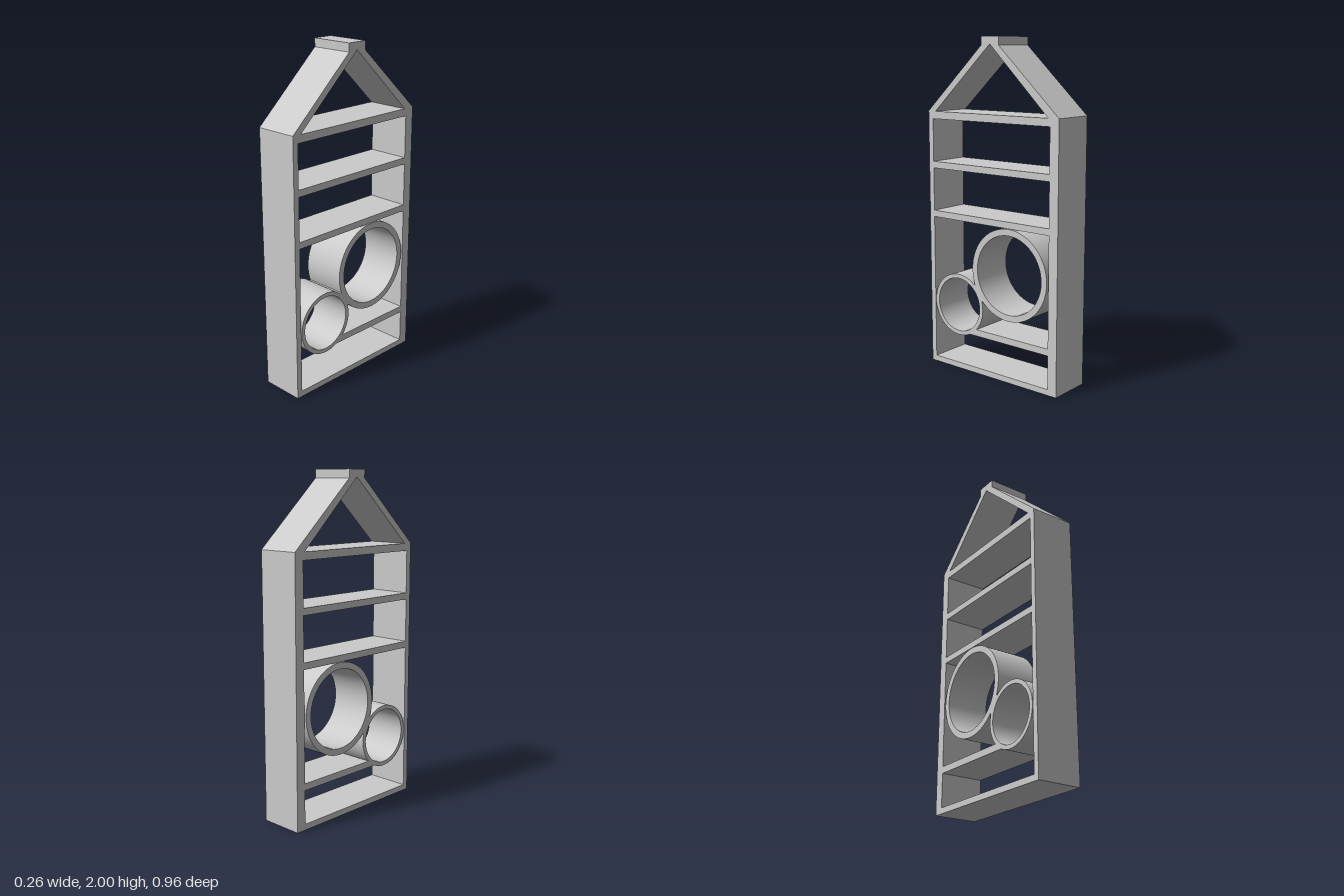
import * as THREE from 'three';
import { toCreasedNormals } from 'three/addons/utils/BufferGeometryUtils.js';

const DEPTH = 0.265; // extent along x
const FRONT = 0.445, BACK = -0.42; // inner wall faces along z

const toPoints = (pts) => pts.map(([z, y]) => new THREE.Vector2(z, y));

export function createModel() {
  const group = new THREE.Group();
  const material = new THREE.MeshStandardMaterial({ color: 0xcccccc });

  // Extrude a side profile drawn in (z, y) across the full width in x
  function addProfile(name, shape) {
    let geo = new THREE.ExtrudeGeometry(shape, { depth: DEPTH, bevelEnabled: false, curveSegments: 48 });
    geo.translate(0, 0, -DEPTH / 2);
    geo.rotateY(-Math.PI / 2);
    geo = toCreasedNormals(geo, 0.5);
    const mesh = new THREE.Mesh(geo, material);
    mesh.name = name;
    group.add(mesh);
  }

  // House-shaped frame with cap, body opening and gable opening
  const frame = new THREE.Shape(toPoints([
    [-0.48, 0], [0.48, 0], [0.48, 1.567], [0.063, 1.951], [0.063, 2],
    [-0.063, 2], [-0.063, 1.951], [-0.48, 1.567],
  ]));
  frame.holes.push(
    new THREE.Path(toPoints([[BACK, 0.035], [BACK, 1.521], [FRONT, 1.521], [FRONT, 0.035]])),
    new THREE.Path(toPoints([[-0.408, 1.566], [0, 1.957], [0.424, 1.566]])),
  );
  addProfile('frame', frame);

  // Two full-width shelves
  for (const [name, y0, y1] of [['upperShelf', 1.225, 1.265], ['middleShelf', 0.926, 0.965]]) {
    addProfile(name, new THREE.Shape(toPoints([[BACK, y0], [FRONT, y0], [FRONT, y1], [BACK, y1]])));
  }

  // Short shelf ending in the wall of the small ring
  addProfile('lowerShelf', new THREE.Shape(toPoints([
    [BACK, 0.235], [0.17, 0.235], [0.145, 0.255], [0.12, 0.275], [BACK, 0.275],
  ])));

  // Round compartments
  const rings = [
    ['largeRing', -0.135, 0.65, 0.273, 0.235],
    ['smallRing', 0.25, 0.405, 0.19, 0.165],
  ];
  for (const [name, z, y, outer, inner] of rings) {
    const ring = new THREE.Shape().absarc(z, y, outer, 0, Math.PI * 2);
    ring.holes.push(new THREE.Path().absarc(z, y, inner, 0, Math.PI * 2, true));
    addProfile(name, ring);
  }

  // Small web joining the two rings
  const web = new THREE.Mesh(new THREE.BoxGeometry(DEPTH, 0.11, 0.024), material);
  web.name = 'ringWeb';
  web.position.set(0, 0.507, 0.09);
  web.rotation.x = Math.atan2(0.245, 0.385);
  group.add(web);

  return group;
}
